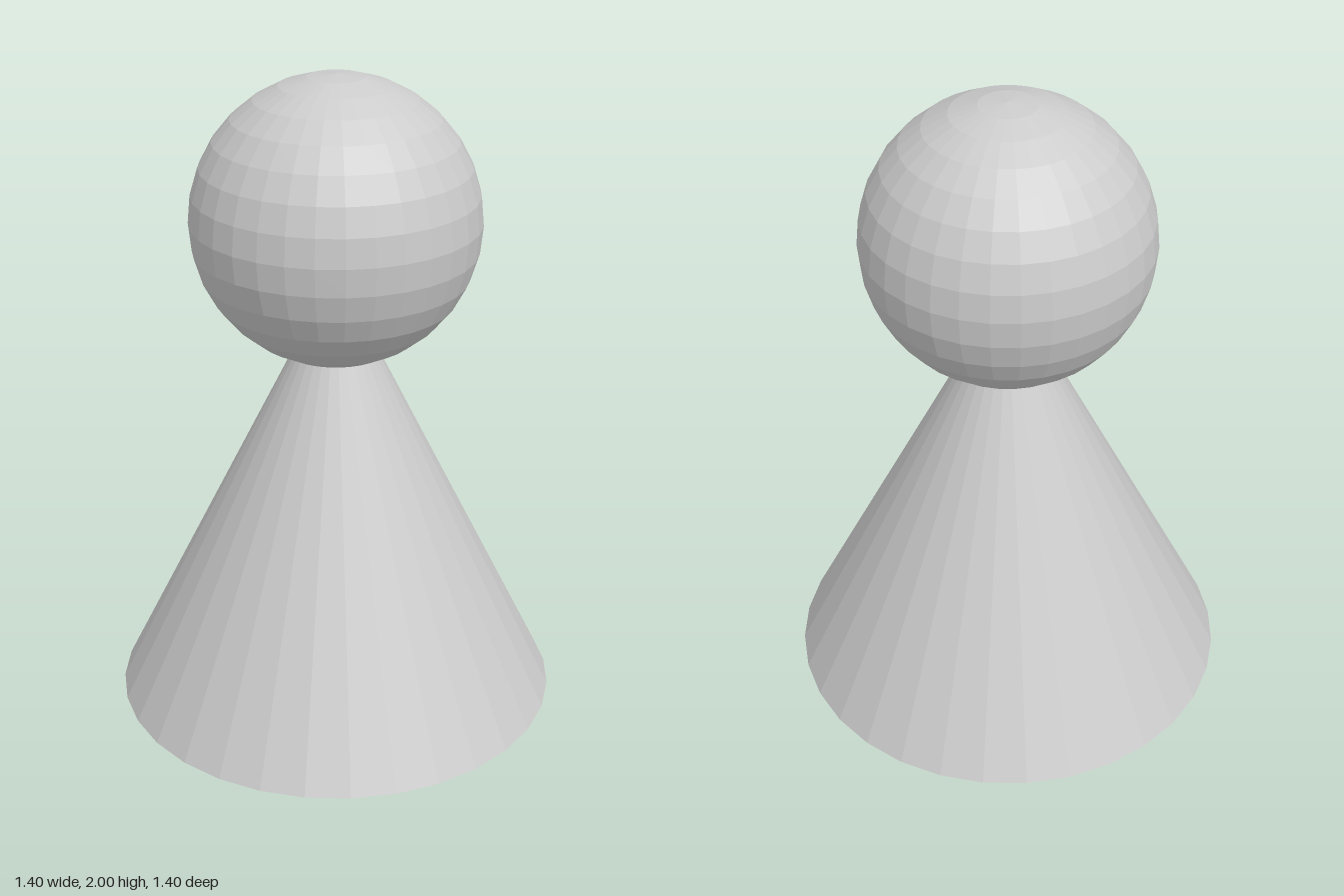
import * as THREE from 'three';

export function createModel() {
  const model = new THREE.Group();
  const material = new THREE.MeshStandardMaterial({ color: 0xcccccc, flatShading: true });

  const addPart = (name, geometry, y) => {
    const mesh = new THREE.Mesh(geometry, material);
    mesh.name = name;
    mesh.position.y = y;
    model.add(mesh);
  };

  // Conical body, its tip buried in the head
  const bodyHeight = 1.41;
  addPart('body', new THREE.ConeGeometry(0.7, bodyHeight, 32), bodyHeight / 2);

  // Faceted ball head
  const headRadius = 0.437;
  addPart('head', new THREE.SphereGeometry(headRadius, 32, 16), 2 - headRadius);

  return model;
}
